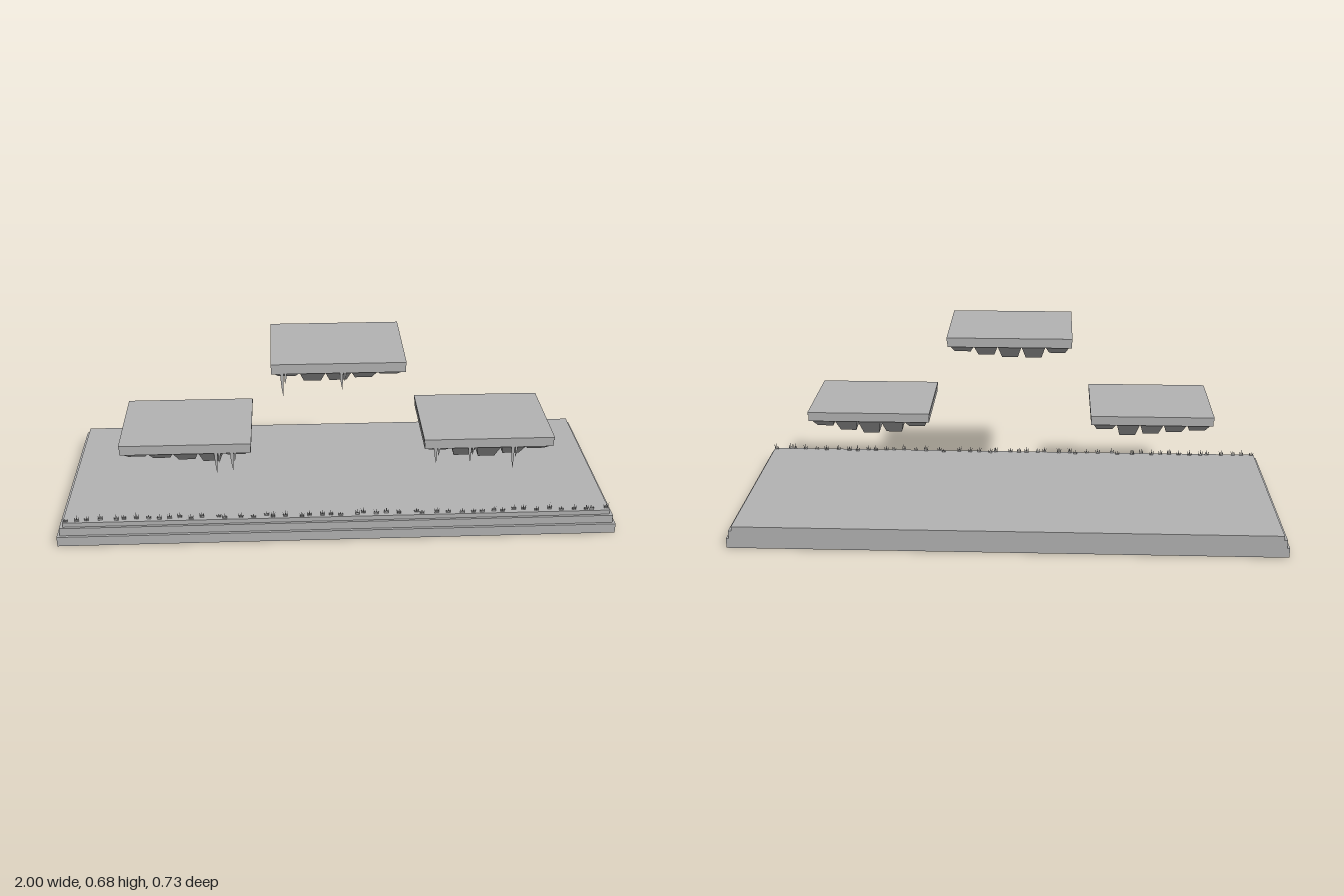
import * as THREE from 'three';

const stone = new THREE.MeshStandardMaterial({ color: 0xb4b4b4 });
stone.name = 'grey stone';
const blade = new THREE.MeshStandardMaterial({ color: 0xb4b4b4, side: THREE.DoubleSide });
blade.name = 'grey blade';

// Box given by its limits
function slab(name, x0, x1, y0, y1, z0, z1) {
  const g = new THREE.BoxGeometry(x1 - x0, y1 - y0, z1 - z0);
  g.translate((x0 + x1) / 2, (y0 + y1) / 2, (z0 + z1) / 2);
  const m = new THREE.Mesh(g, stone);
  m.name = name;
  return m;
}

// Hanging rock ridge: a box whose underside is narrowed and slightly tilted
function ridge(x, width, depth) {
  const g = new THREE.BoxGeometry(1, 1, 1);
  const p = g.attributes.position;
  for (let i = 0; i < p.count; i++) {
    const low = p.getY(i) < 0, front = p.getZ(i) > 0;
    const z = front ? (low ? 0.29 : 0.335) : (low ? 0.05 : 0.002);
    const y = low ? -depth + (front ? 0.004 : -0.002) : 0;
    p.setXYZ(i, x + p.getX(i) * width * (low ? 0.68 : 1), y, z);
  }
  g.computeVertexNormals();
  const m = new THREE.Mesh(g, stone);
  m.name = 'rockRidge';
  return m;
}

// Flat curved spike, pointing up (positive height) or down (negative)
function spike(s, x, width, height, lean) {
  s.moveTo(x - width / 2, 0);
  s.lineTo(x + width / 2, 0);
  s.quadraticCurveTo(x + width * 0.4, height * 0.5, x + lean, height);
  s.quadraticCurveTo(x - width * 0.4, height * 0.5, x - width / 2, 0);
  return s;
}

function flat(name, shapes, x, y, z) {
  const m = new THREE.Mesh(new THREE.ShapeGeometry(shapes, 3), blade);
  m.name = name;
  m.position.set(x, y, z);
  return m;
}

// Floating platform: cap, slab, five ridges and a few roots
function platform(name, cx, top, depths, roots) {
  const g = new THREE.Group();
  g.name = name;
  g.add(slab('cap', -0.228, 0.228, -0.011, 0, -0.01, 0.341));
  g.add(slab('body', -0.226, 0.226, -0.036, -0.011, -0.006, 0.339));
  depths.forEach((d, i) => {
    const r = ridge((i - 2) * 0.087, 0.086, d);
    r.position.y = -0.036;
    g.add(r);
  });
  for (const [x, len] of roots) {
    g.add(flat('root', [
      spike(new THREE.Shape(), 0, 0.012, -len, 0.003),
      spike(new THREE.Shape(), 0.012, 0.008, -len * 0.5, -0.003),
    ], x - cx, -0.036, 0.335));
  }
  g.position.set(cx, top, 0);
  return g;
}

export function createModel() {
  const model = new THREE.Group();
  let seed = 7;
  const rnd = () => (seed = (seed * 16807) % 2147483647) / 2147483647;

  // Stepped ground, flush at the back
  const ground = new THREE.Group();
  ground.name = 'ground';
  ground.add(slab('lowerStep', -1, 1, 0, 0.037, -0.366, 0.366));
  ground.add(slab('middleStep', -0.99, 0.99, 0.037, 0.067, -0.366, 0.356));
  ground.add(slab('upperStep', -0.978, 0.978, 0.067, 0.084, -0.366, 0.347));
  model.add(ground);

  // Grass tufts along the front edge
  const grass = new THREE.Group();
  grass.name = 'grass';
  const count = 48;
  for (let i = 0; i < count; i++) {
    const h = 0.016 + rnd() * 0.012;
    const shapes = [-1, 0, 1].map((k) => spike(new THREE.Shape(), k * 0.005, 0.005,
      h * (k ? 0.55 + rnd() * 0.3 : 1), k * 0.004 + (rnd() - 0.5) * 0.004));
    const x = -0.965 + 1.93 * (i + (rnd() - 0.5) * 0.7) / (count - 1);
    grass.add(flat('tuft', shapes, THREE.MathUtils.clamp(x, -0.968, 0.968), 0.084, 0.328 + rnd() * 0.016));
  }
  model.add(grass);

  // Floating platforms
  model.add(platform('leftPlatform', 0.527, 0.384, [0.035, 0.058, 0.064, 0.054, 0.037],
    [[0.34, 0.063], [0.46, 0.06], [0.612, 0.09]]));
  model.add(platform('rightPlatform', -0.53, 0.384, [0.037, 0.044, 0.052, 0.06, 0.036],
    [[-0.425, 0.088], [-0.37, 0.07]]));
  model.add(platform('centrePlatform', 0, 0.682, [0.034, 0.053, 0.052, 0.044, 0.032],
    [[-0.19, 0.086], [0.01, 0.065]]));
  return model;
}
